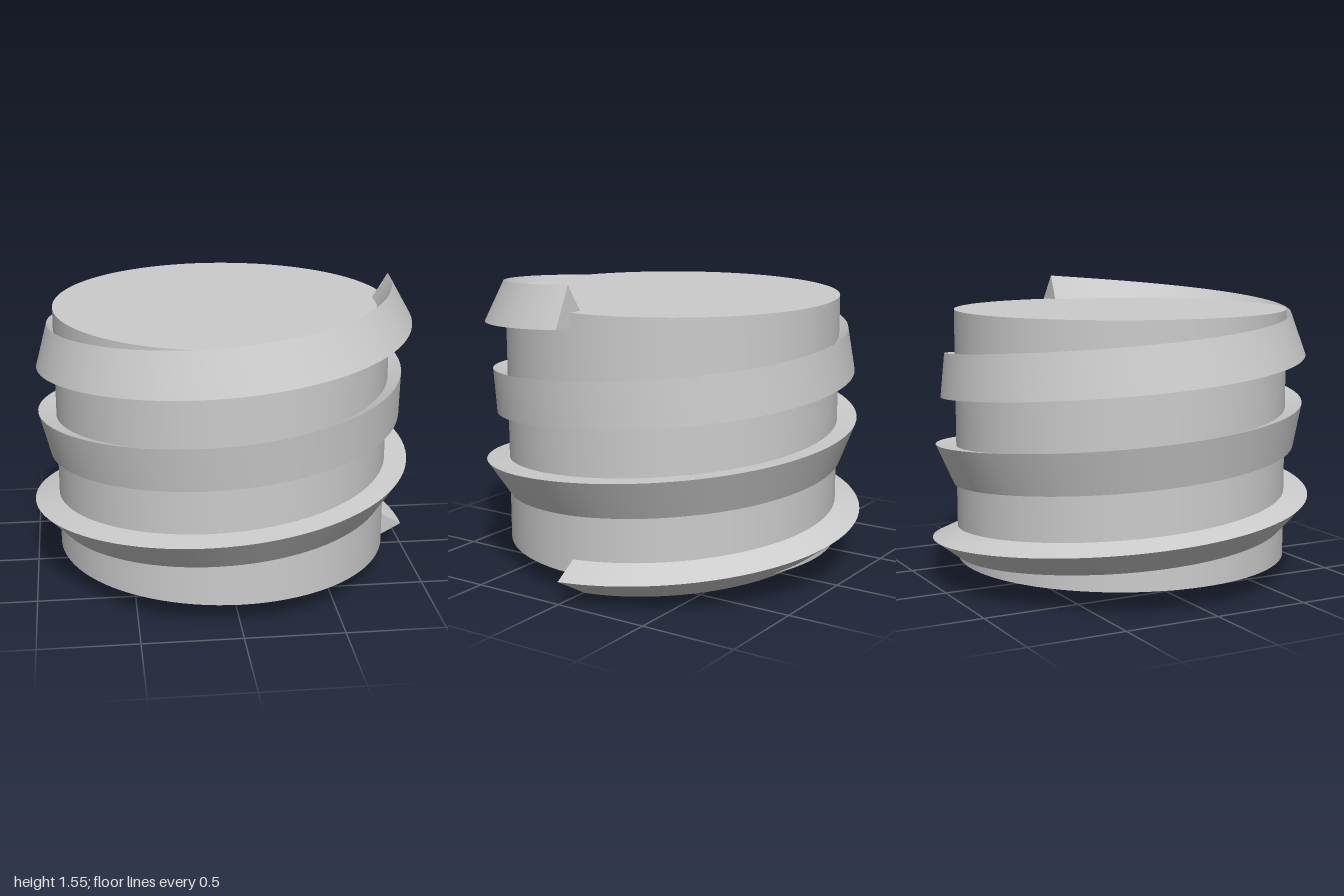
import * as THREE from 'three';

const RADIUS = 0.869, THREAD = 0.1333, TURNS = 3;
const BOTTOM = 0.116, HEIGHT = 1.3, TURN_STEPS = 96;
const TWIST = Math.PI / 6; // section rotation per turn

// Corner k of the triangular thread section, t turns along the helix
function corner(t, k) {
  const a = t * Math.PI * 2;
  const slope = Math.atan(HEIGHT / TURNS / (Math.PI * 2 * RADIUS));
  const radial = new THREE.Vector3(Math.cos(a), 0, -Math.sin(a));
  const up = new THREE.Vector3(
    Math.sin(a) * Math.sin(slope), Math.cos(slope), Math.cos(a) * Math.sin(slope));
  const angle = t * TWIST + k * Math.PI * 2 / 3;
  return radial.clone().multiplyScalar(RADIUS + THREAD * Math.cos(angle))
    .addScaledVector(up, THREAD * Math.sin(angle))
    .add(new THREE.Vector3(0, BOTTOM + HEIGHT * t / TURNS, 0));
}

// Twisting thread: three separate smooth strips, so its edges stay sharp
function threadGeometry() {
  const pos = [], index = [], steps = TURNS * TURN_STEPS;
  for (let k = 0; k < 3; k++) {
    const base = pos.length / 3;
    for (let i = 0; i <= steps; i++) {
      const t = i / TURN_STEPS;
      pos.push(...corner(t, k).toArray(), ...corner(t, k + 1).toArray());
      if (i < steps) {
        const a = base + i * 2;
        index.push(a, a + 2, a + 1, a + 1, a + 2, a + 3);
      }
    }
  }
  // End caps
  for (const [t, order] of [[0, [0, 1, 2]], [TURNS, [0, 2, 1]]]) {
    const base = pos.length / 3;
    for (const k of order) pos.push(...corner(t, k).toArray());
    index.push(base, base + 1, base + 2);
  }
  const g = new THREE.BufferGeometry();
  g.setAttribute('position', new THREE.Float32BufferAttribute(pos, 3));
  g.setIndex(index);
  g.computeVertexNormals();
  return g;
}

export function createModel() {
  const group = new THREE.Group();
  group.name = 'threadedCylinder';
  const grey = new THREE.MeshStandardMaterial({ color: 0xcccccc });
  grey.name = 'light grey';

  const core = new THREE.Mesh(
    new THREE.CylinderGeometry(RADIUS, RADIUS, HEIGHT, TURN_STEPS), grey);
  core.name = 'core';
  core.position.y = BOTTOM + HEIGHT / 2;

  const thread = new THREE.Mesh(threadGeometry(), grey);
  thread.name = 'helicalThread';

  group.add(core, thread);
  group.position.set(-0.003, 0, 0.003);
  return group;
}
